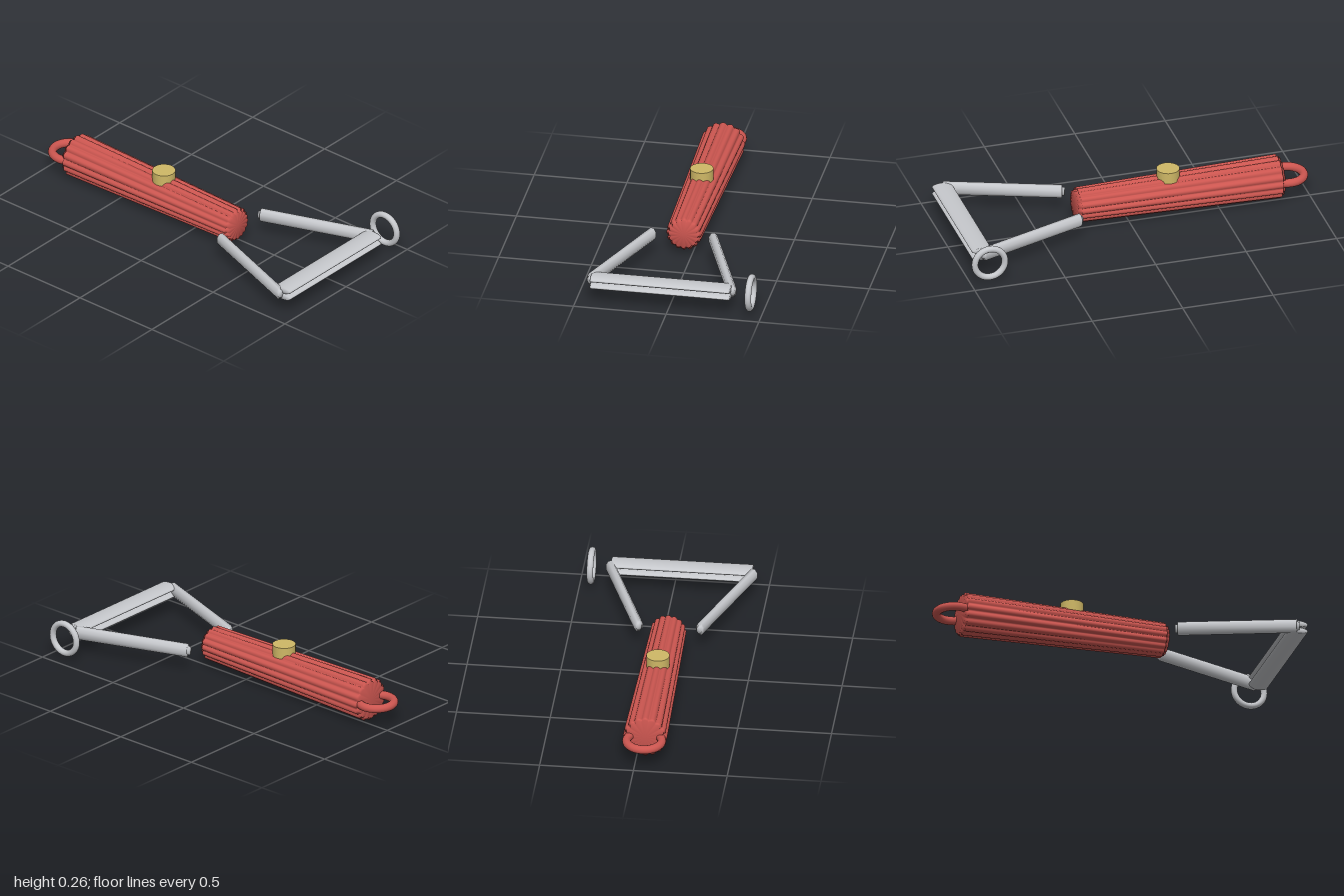
import * as THREE from 'three';

const CX = -0.044, CY = 0.122;

const mat = (name, color, side = THREE.FrontSide) => {
  const m = new THREE.MeshStandardMaterial({ color, side });
  m.name = name;
  return m;
};

// Loft of closed rings along z; sections are [z, scale], outline(angle) gives [x, y]
function loft(sections, sides, outline) {
  const pos = [], idx = [];
  for (const [z, s] of sections) {
    for (let i = 0; i < sides; i++) {
      const [x, y] = outline((i / sides) * Math.PI * 2);
      pos.push(x * s, y * s, z);
    }
  }
  for (let k = 0; k < sections.length - 1; k++) {
    for (let i = 0; i < sides; i++) {
      const a = k * sides + i, b = k * sides + (i + 1) % sides;
      idx.push(a, b, b + sides, a, b + sides, a + sides);
    }
  }
  const g = new THREE.BufferGeometry();
  g.setAttribute('position', new THREE.Float32BufferAttribute(pos, 3));
  g.setIndex(idx);
  g.computeVertexNormals();
  return g;
}

export function createModel() {
  const red = mat('red', 0xcc5650);
  const silver = mat('silver', 0xc6c8cc);
  const gold = mat('gold', 0xcfb866);
  const group = new THREE.Group();

  const add = (name, geometry, material, x, y, z) => {
    const mesh = new THREE.Mesh(geometry, material);
    mesh.name = name;
    mesh.position.set(x, y, z);
    group.add(mesh);
    return mesh;
  };

  // Fluted tapering handle with a small step at each end
  const flute = (a) => {
    const r = 1 - 0.1 * (1 - Math.abs(Math.cos(a * 8)));
    return [Math.cos(a) * r, Math.sin(a) * r];
  };
  const handleSections = [
    [-0.85, 0.0001], [-0.85, 0.106], [-0.836, 0.108], [-0.836, 0.118],
    [0.27, 0.095], [0.27, 0.083], [0.288, 0.08], [0.288, 0.0001],
  ];
  add('handle', loft(handleSections, 128, flute), red, CX, CY, 0);

  // Hanging loop at the back
  const loop = add('hangingLoop', new THREE.TorusGeometry(0.093, 0.023, 14, 48), red, CX, CY, -0.884);
  loop.rotation.x = Math.PI / 2;

  // Button on top of the handle
  add('button', new THREE.CylinderGeometry(0.062, 0.062, 0.075, 24), gold, CX, 0.2265, -0.23);

  // Splayed arms: eight-sided rods with stepped ends
  const arm = (a) => {
    const t = a + Math.PI / 8, k = 1 / Math.cos(Math.PI / 8);
    return [Math.cos(t) * k * 0.024, Math.sin(t) * k * 0.035];
  };
  const L = 0.33;
  const armSections = [
    [-L, 0.001], [-L, 0.6], [-L + 0.014, 0.65], [-L + 0.014, 1],
    [L - 0.014, 1], [L - 0.014, 0.65], [L, 0.6], [L, 0.001],
  ];
  for (const s of [-1, 1]) {
    const m = add(s > 0 ? 'leftArm' : 'rightArm', loft(armSections, 8, arm), silver, CX + s * 0.273, CY, 0.603);
    m.rotation.y = s * 0.35;
  }

  // Crossbar: a pair of flattened bars one above the other
  const bar = (a) => [Math.cos(a) * 0.0165, Math.sin(a) * 0.055];
  const W = 0.377;
  const barSections = [
    [-W, 0.001], [-W, 0.9], [-W + 0.006, 1], [W - 0.006, 1], [W, 0.9], [W, 0.001],
  ];
  for (const s of [-1, 1]) {
    const g = loft(barSections, 24, bar);
    g.rotateZ(Math.PI / 2); // flat side up
    g.rotateY(Math.PI / 2); // run along x
    add(s > 0 ? 'upperBar' : 'lowerBar', g, silver, CX, CY + s * 0.0195, 0.91);
  }

  // Separate ring beside the crossbar
  const ring = add('sideRing', new THREE.TorusGeometry(0.083, 0.0175, 14, 40), silver, 0.437, CY, 0.898);
  ring.rotation.y = Math.PI / 2;

  return group;
}
